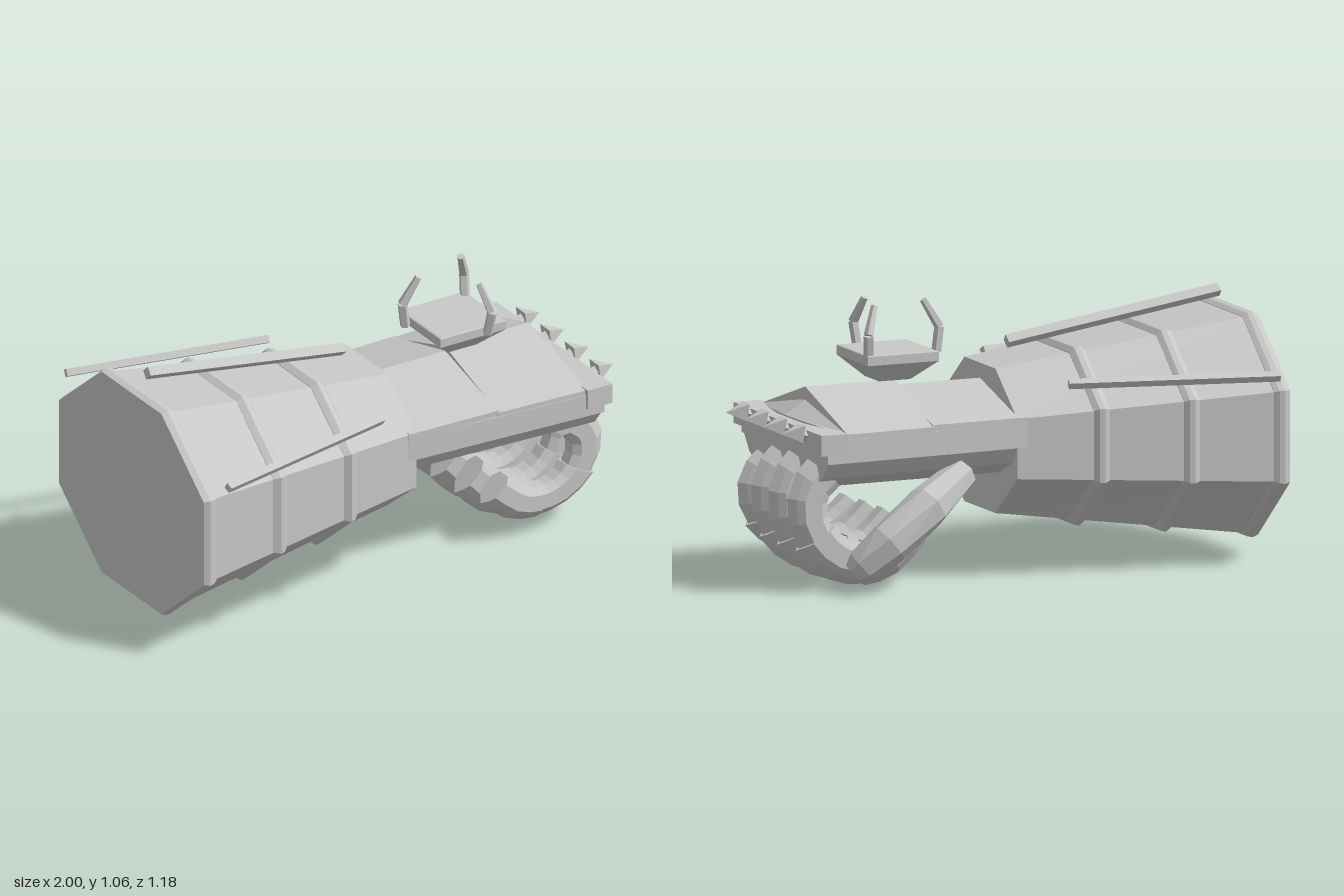
import * as THREE from 'three';

const steel = new THREE.MeshStandardMaterial({ color: 0xc8c8c8 });
steel.name = 'steel grey';
const V = (x, y, z) => new THREE.Vector3(x, y, z);

// Closed flat-faced solid through a list of rings, turned outward by its signed volume
function loft(rings) {
  const n = rings[0].length, tris = [];
  for (let i = 0; i < rings.length - 1; i++) {
    const a = rings[i], b = rings[i + 1];
    for (let j = 0; j < n; j++) {
      const k = (j + 1) % n;
      tris.push([a[j], b[j], b[k]], [a[j], b[k], a[k]]);
    }
  }
  const first = rings[0], last = rings[rings.length - 1];
  for (let j = 1; j < n - 1; j++) {
    tris.push([first[0], first[j], first[j + 1]], [last[0], last[j + 1], last[j]]);
  }
  let volume = 0;
  for (const [a, b, c] of tris) volume += a.dot(b.clone().cross(c));
  if (volume < 0) tris.forEach((t) => t.reverse());
  const g = new THREE.BufferGeometry().setFromPoints(tris.flat());
  g.computeVertexNormals();
  return g;
}

function add(parent, name, geometry) {
  const m = new THREE.Mesh(geometry, steel);
  m.name = name;
  parent.add(m);
  return m;
}

// Straight bar between two points
function bar(parent, name, a, b, r0, r1 = r0, sides = 4) {
  const d = b.clone().sub(a);
  const g = new THREE.CylinderGeometry(r1, r0, d.length(), sides).toNonIndexed();
  g.computeVertexNormals();
  const m = add(parent, name, g);
  m.position.copy(a).add(b).multiplyScalar(0.5);
  m.quaternion.setFromUnitVectors(V(0, 1, 0), d.normalize());
  return m;
}

// Octagonal sleeve ring: half height h, half width w, measured to the flats
const octagon = ([x, h, w]) => Array.from({ length: 8 }, (_, i) => {
  const a = (i + 0.5) * Math.PI / 4, k = 1 / Math.cos(Math.PI / 8);
  return V(x, 0.51 + Math.sin(a) * h * k, Math.cos(a) * w * k);
});

// Solid along x from a [z, y] section; stations are [x, width scale]
const prism = (section, stations) =>
  loft(stations.map(([x, s]) => section.map(([z, y]) => V(x, y, z * s))));

function makeFinger() {
  const g = new THREE.Group();
  const path = new THREE.CatmullRomCurve3([
    [0.83, 0.47], [0.885, 0.41], [0.9, 0.31], [0.86, 0.2],
    [0.77, 0.12], [0.67, 0.095], [0.56, 0.12], [0.455, 0.22],
  ].map(([x, y]) => V(x, y, 0)));
  // Three overlapping plates, each flared at its start
  [[0, 3], [2.9, 5.2], [5.1, 7]].forEach(([from, to], s) => {
    const rings = [];
    for (let i = 0; i <= 4; i++) {
      const t = (from + (to - from) * i / 4) / 7;
      const p = path.getPoint(t), d = path.getTangent(t);
      const k = (s === 0 ? 0.97 : 1.05) - 0.02 * i, h = 0.085 * k, w = 0.052 * k;
      rings.push([[h, 0], [0.65 * h, 0.6 * w], [0.3 * h, w], [-0.6 * h, w], [-h, 0.55 * w],
        [-h, -0.55 * w], [-0.6 * h, -w], [0.3 * h, -w], [0.65 * h, -0.6 * w]]
        .map(([n, z]) => V(p.x - d.y * n, p.y + d.x * n, z)));
    }
    add(g, 'fingerPlate', loft(rings));
  });
  return g;
}

export function createModel() {
  const model = new THREE.Group();
  model.name = 'gauntlet';

  // Sleeve with three raised bands
  add(model, 'sleeve', loft([[-0.99, 0.422, 0.505], [0.06, 0.278, 0.347]].map(octagon)));
  [[-1, 0.425, 0.51, 0.433, 0.52], [-0.65, 0.376, 0.456, 0.39, 0.468],
    [-0.3, 0.33, 0.402, 0.345, 0.416]].forEach(([x, h, w, H, W]) => {
    add(model, 'sleeveBand', loft([
      [x, h, w], [x + 0.025, H, W], [x + 0.045, H - 0.004, W - 0.005], [x + 0.062, h - 0.008, w - 0.008],
    ].map(octagon)));
  });

  // Long bars along the sleeve
  bar(model, 'topBar', V(-0.93, 1.0, 0), V(-0.05, 0.863, 0), 0.026);
  for (const s of [1, -1]) {
    bar(model, 'sideBar', V(-0.93, 0.756, 0.572 * s), V(-0.13, 0.756, 0.4 * s), 0.02);
  }

  // Palm, wrist plate and the two ridged plates on the back of the hand
  const palm = [[0.39, 0.54], [0.39, 0.515], [0.34, 0.45], [0.2, 0.395],
    [-0.2, 0.395], [-0.34, 0.45], [-0.39, 0.515], [-0.39, 0.54]];
  add(model, 'palm', prism(palm, [[0, 0.88], [0.865, 1]]));
  const edge = (x, y, w) => [V(x, y, w), V(x, y, -w)];
  add(model, 'handPlate', loft([
    [...edge(-0.02, 0.525, 0.35), ...edge(-0.005, 0.545, 0.35).reverse()],
    [...edge(0.04, 0.515, 0.355), ...edge(0.03, 0.61, 0.355).reverse()],
    [...edge(0.87, 0.515, 0.4), ...edge(0.87, 0.605, 0.4).reverse()],
  ]));
  const roof = (ridge, eave, base) => [[0, ridge], [0.385, eave], [0.385, base], [-0.385, base], [-0.385, eave]];
  add(model, 'rearBackPlate', prism(roof(0.73, 0.632, 0.6), [[0.02, 0.93], [0.42, 0.96]]));
  add(model, 'frontBackPlate', prism(roof(0.748, 0.625, 0.595), [[0.41, 0.97], [0.785, 1.02]]));
  add(model, 'knuckleSlope', loft([
    [V(0.78, 0.7, 0), V(0.78, 0.625, 0.39), V(0.78, 0.6, 0.39), V(0.78, 0.6, -0.39), V(0.78, 0.625, -0.39)],
    [V(0.87, 0.645, 0), V(0.8, 0.625, 0.39), V(0.8, 0.6, 0.39), V(0.8, 0.6, -0.39), V(0.8, 0.625, -0.39)],
  ]));

  // Knuckle guard and spikes
  add(model, 'knuckleGuard', new THREE.BoxGeometry(0.11, 0.08, 0.82)).position.set(0.845, 0.591, 0);
  for (const z of [0.257, 0.083, -0.09, -0.262]) {
    const r = 0.033;
    add(model, 'knuckleSpike', loft([
      [V(0.915, 0.62 + r, z + r), V(0.925, 0.62 - r, z + r), V(0.925, 0.62 - r, z - r), V(0.915, 0.62 + r, z - r)],
      Array.from({ length: 4 }, () => V(1, 0.622, z)),
    ]));
    bar(model, 'spikeMount', V(0.88, 0.605, z), V(0.922, 0.617, z), 0.022);
  }

  // Curled fingers, the outer one shorter
  [[0.24, 0.8], [0.08, 0.97], [-0.085, 1], [-0.255, 0.97]].forEach(([z, s]) => {
    const f = makeFinger();
    f.name = 'finger';
    f.scale.set(0.7 + 0.3 * s, s, 1);
    f.position.set(0.68 * 0.3 * (1 - s), 0.27 * (1 - s), z);
    model.add(f);
  });

  // Thumb, folded under from the far side
  const thumb = [[0.27, 0.43, -0.31, 0.06], [0.45, 0.33, -0.4, 0.085], [0.62, 0.2, -0.41, 0.085],
    [0.71, 0.11, -0.375, 0.075], [0.74, 0.08, -0.36, 0.05]];
  add(model, 'thumb', loft(thumb.map(([x, y, z, r], i) => {
    const a = thumb[Math.max(i - 1, 0)], b = thumb[Math.min(i + 1, thumb.length - 1)];
    const d = V(b[0] - a[0], b[1] - a[1], b[2] - a[2]).normalize();
    const side = d.clone().cross(V(0, 1, 0)).normalize(), up = side.clone().cross(d);
    return Array.from({ length: 7 }, (_, j) => {
      const t = j / 7 * Math.PI * 2;
      return V(x, y, z).addScaledVector(side, r * Math.cos(t)).addScaledVector(up, r * Math.sin(t));
    });
  })));

  // Raised setting with three bent prongs
  add(model, 'setting', loft([[0.758, 0.065], [0.835, 0.147], [0.87, 0.147], [0.873, 0.142]].map(([y, r]) =>
    [[1, 1], [1, -1], [-1, -1], [-1, 1]].map(([x, z]) => V(0.443 + x * r, y, z * r)))));
  [[[0.262, 0.855, -0.05], [0.25, 0.95, -0.05], [0.31, 1.055, -0.033]],
    [[0.575, 0.86, -0.12], [0.585, 0.95, -0.142], [0.54, 1.055, -0.095]],
    [[0.49, 0.855, 0.175], [0.5, 0.95, 0.19], [0.48, 1.05, 0.13]]].forEach((p) => {
    const [a, b, c] = p.map((q) => V(...q));
    bar(model, 'prongBase', a, b, 0.02, 0.02, 5);
    bar(model, 'prongTip', b, c, 0.02, 0.014, 5);
  });

  return model;
}
